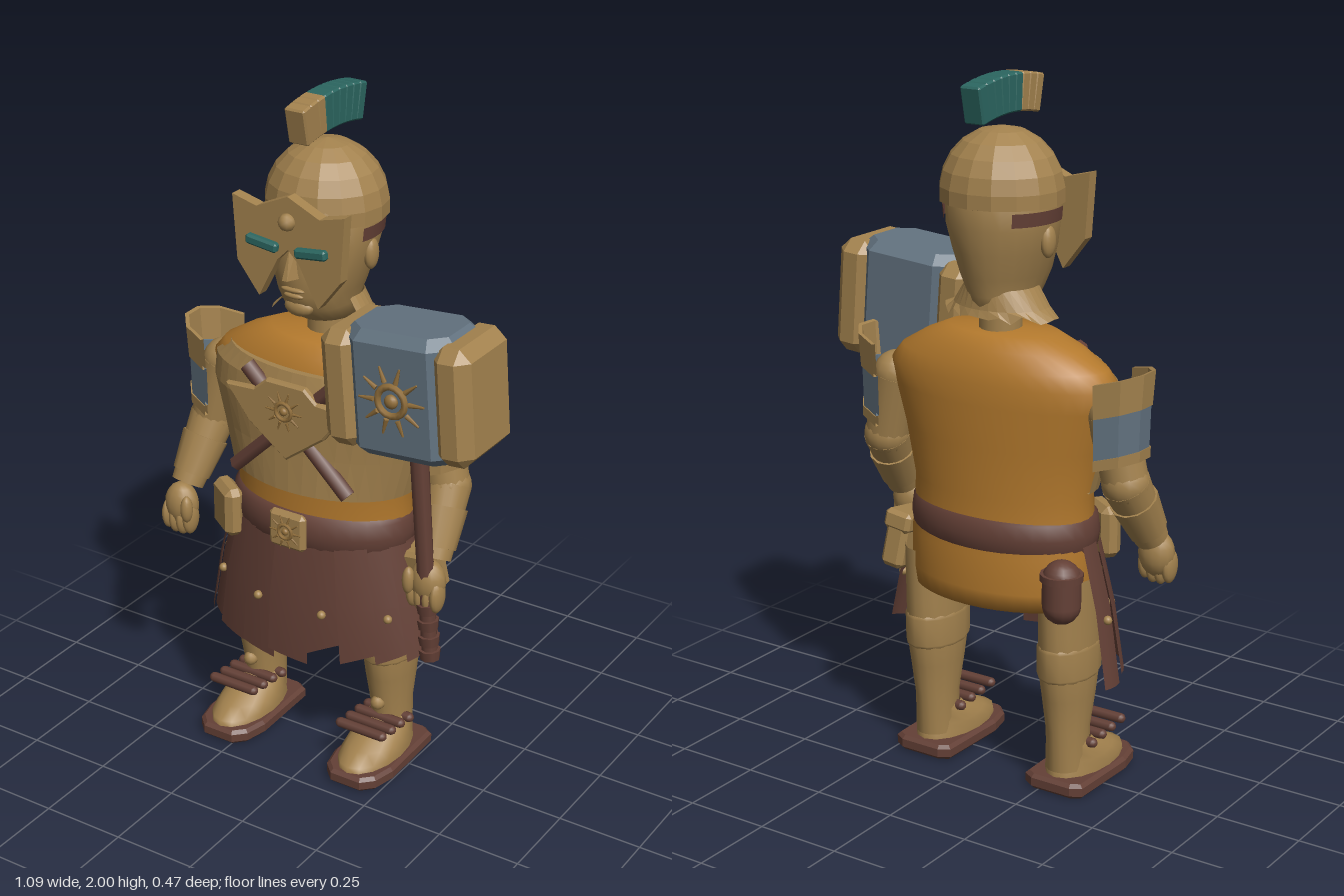
import * as THREE from 'three';
import { mergeVertices } from 'three/addons/utils/BufferGeometryUtils.js';
import { ConvexGeometry } from 'three/addons/geometries/ConvexGeometry.js';

const mat = (name, color) => {
  const m = new THREE.MeshStandardMaterial({ color, side: THREE.DoubleSide });
  m.name = name;
  return m;
};
const V = (x, y, z) => new THREE.Vector3(x, y, z);

// Skin through elliptical rows [y, rx, rz, cz]; angle 0 is the front
function loft(rows, n = 24, a0 = 0, a1 = Math.PI * 2, flat = false) {
  const pos = [], idx = [];
  for (const [y, rx, rz, cz = 0] of rows)
    for (let i = 0; i <= n; i++) {
      const a = a0 + (a1 - a0) * i / n;
      pos.push(rx * Math.sin(a), y, cz + rz * Math.cos(a));
    }
  for (let j = 0; j < rows.length - 1; j++)
    for (let i = 0; i < n; i++) {
      const p = j * (n + 1) + i, q = p + n + 1;
      idx.push(p, p + 1, q, p + 1, q + 1, q);
    }
  let g = new THREE.BufferGeometry();
  g.setAttribute('position', new THREE.Float32BufferAttribute(pos, 3));
  g.setIndex(idx);
  g = flat ? g.toNonIndexed() : mergeVertices(g);
  g.computeVertexNormals();
  return g;
}

// Box with every edge cut at 45 degrees
function chamferBox(w, h, d, c) {
  const pts = [];
  for (const x of [-1, 1]) for (const y of [-1, 1]) for (const z of [-1, 1])
    pts.push(V(x * w / 2, y * (h / 2 - c), z * (d / 2 - c)),
      V(x * (w / 2 - c), y * h / 2, z * (d / 2 - c)),
      V(x * (w / 2 - c), y * (h / 2 - c), z * d / 2));
  return new ConvexGeometry(pts);
}

// Flat plate from an outline
function plate(points, depth, bevel = 0) {
  const s = new THREE.Shape(points.map(p => new THREE.Vector2(p[0], p[1])));
  return new THREE.ExtrudeGeometry(s, { depth, bevelEnabled: bevel > 0, bevelSize: bevel, bevelThickness: bevel, bevelSegments: 1 });
}

export function createModel() {
  const tan = mat('tan', 0xa3824e), orange = mat('orange cloth', 0xb3792d), brown = mat('brown leather', 0x644036);
  const steel = mat('blue steel', 0x62727f), teal = mat('teal', 0x2b6660), bronze = mat('bronze trim', 0x93703c);
  const model = new THREE.Group();
  const figure = new THREE.Group();
  figure.name = 'figure';
  figure.position.x = -0.07;
  model.add(figure);

  const add = (name, geo, m, x = 0, y = 0, z = 0, parent = figure) => {
    const o = new THREE.Mesh(geo, m);
    o.name = name;
    o.position.set(x, y, z);
    parent.add(o);
    return o;
  };
  const rod = (name, a, b, ra, rb, m, parent = figure, n = 14) => {
    const d = b.clone().sub(a), c = a.clone().add(b).multiplyScalar(0.5);
    const o = add(name, new THREE.CylinderGeometry(rb, ra, d.length(), n), m, c.x, c.y, c.z, parent);
    o.quaternion.setFromUnitVectors(V(0, 1, 0), d.normalize());
    return o;
  };
  const ball = (name, m, x, y, z, rx, ry = rx, rz = rx, parent = figure) => {
    const o = add(name, new THREE.SphereGeometry(1, 14, 10), m, x, y, z, parent);
    o.scale.set(rx, ry, rz);
    return o;
  };
  // Sun ornament facing +z
  const sun = (x, y, z, r, parent) => {
    const g = new THREE.Group();
    g.name = 'sunOrnament';
    g.position.set(x, y, z);
    add('sunRing', new THREE.TorusGeometry(r * 0.42, r * 0.1, 6, 16), bronze, 0, 0, 0, g);
    ball('sunBoss', bronze, 0, 0, 0, r * 0.2, r * 0.2, r * 0.15, g);
    for (let i = 0; i < 10; i++) {
      const a = i * Math.PI / 5;
      rod('sunRay', V(Math.cos(a) * r * 0.55, Math.sin(a) * r * 0.55, 0), V(Math.cos(a) * r, Math.sin(a) * r, 0), r * 0.08, r * 0.03, bronze, g, 5);
    }
    parent.add(g);
  };

  // Tunic and breastplate
  add('tunic', loft([[0.57, 0, 0, -0.048], [0.55, 0.275, 0.18, -0.048], [0.6, 0.285, 0.182, -0.048], [0.7, 0.285, 0.178, -0.048], [0.75, 0.28, 0.17, -0.045],
    [0.86, 0.278, 0.165, -0.045], [1.0, 0.31, 0.165, -0.045], [1.12, 0.348, 0.165, -0.045], [1.18, 0.362, 0.16, -0.045],
    [1.225, 0.325, 0.15, -0.045], [1.27, 0.25, 0.13, -0.045], [1.305, 0.17, 0.1, -0.045], [1.315, 0, 0, -0.045]], 36), orange);
  add('breastplate', loft([[0.88, 0.272, 0.165, -0.045], [0.88, 0.29, 0.195, -0.045], [1.0, 0.322, 0.19, -0.045], [1.12, 0.356, 0.19, -0.045],
    [1.19, 0.35, 0.18, -0.045], [1.235, 0.3, 0.165, -0.045], [1.235, 0.27, 0.14, -0.045]], 22, -1.65, 1.65, true), tan);
  for (const s of [-1, 1])
    rod('crossedStick', V(-s * 0.187, 0.91, 0.132), V(s * 0.143, 1.23, 0.132), 0.023, 0.023, brown, figure, 6);
  add('chestBadge', plate([[0, 0.99], [0.12, 1.08], [0.19, 1.17], [0.1, 1.175], [0.06, 1.21], [-0.06, 1.21], [-0.1, 1.175], [-0.19, 1.17], [-0.12, 1.08]], 0.012, 0.006), tan, 0, 0, 0.144);
  sun(0, 1.135, 0.168, 0.06, figure);

  // Belt, buckle and hanging gear
  add('belt', loft([[0.7, 0.272, 0.17, -0.038], [0.712, 0.285, 0.184, -0.038], [0.755, 0.291, 0.19, -0.038], [0.798, 0.285, 0.184, -0.038], [0.81, 0.272, 0.165, -0.038]], 36), brown);
  add('buckle', chamferBox(0.12, 0.115, 0.03, 0.012), tan, 0, 0.76, 0.15);
  sun(0, 0.76, 0.167, 0.052, figure);
  add('frontPouch', chamferBox(0.125, 0.15, 0.06, 0.018), tan, -0.25, 0.735, 0.085).rotation.y = -0.6;
  const pouch = new THREE.Group();
  pouch.name = 'sidePouch';
  pouch.position.set(0.325, 0.63, -0.07);
  pouch.rotation.set(0.15, 0, 0.12);
  add('pouchBody', chamferBox(0.075, 0.16, 0.12, 0.015), tan, 0, 0, 0, pouch);
  add('pouchFlap', chamferBox(0.09, 0.06, 0.13, 0.012), tan, 0, 0.06, 0, pouch);
  figure.add(pouch);
  add('canteen', new THREE.CapsuleGeometry(0.054, 0.075, 6, 14), brown, -0.275, 0.63, -0.173);
  add('canteenCollar', new THREE.CylinderGeometry(0.06, 0.06, 0.02, 14), brown, -0.275, 0.675, -0.173);

  // Skirt of ragged leather strips around the front
  const N = 11, span = 3.5;
  for (let i = 0; i < N; i++) {
    const a0 = -span / 2 + span * i / N, a1 = a0 + span / N * 1.12;
    const low = 0.33 + 0.035 * Math.abs(Math.sin(i * 2.3)), lift = i % 2 * 0.008;
    const g = loft([[low, 0.37 + lift, 0.212 + lift, -0.045], [0.55, 0.335 + lift, 0.206 + lift, -0.045], [0.73, 0.288 + lift, 0.19, -0.045]], 3, a0, a1);
    const p = g.attributes.position;
    for (let k = 0; k < p.count; k++)
      if (p.getY(k) < 0.45) p.setY(k, p.getY(k) + (Math.atan2(p.getX(k), p.getZ(k) + 0.045) - a0) * (i < N / 2 ? -0.02 : 0.12));
    g.computeVertexNormals();
    add('skirtStrip', g, brown);
    if (i % 2 === 0) {
      const m = (a0 + a1) / 2;
      ball('skirtStud', tan, 0.345 * Math.sin(m), 0.52, -0.045 + 0.213 * Math.cos(m), 0.013);
    }
  }

  // Sole outline with a narrowed toe, seen from above
  const sole = plate([[-0.085, -0.12], [-0.06, -0.135], [0.06, -0.135], [0.085, -0.12], [0.09, 0.1], [0.075, 0.165], [0.045, 0.195], [-0.045, 0.195], [-0.075, 0.165], [-0.09, 0.1]], 0.024, 0.01);
  sole.rotateX(Math.PI / 2).translate(0, 0.034, 0);

  for (const s of [-1, 1]) {
    // Legs and sandals
    const leg = new THREE.Group();
    leg.name = s < 0 ? 'rightLeg' : 'leftLeg';
    leg.position.x = s * 0.225;
    figure.add(leg);
    add('shin', loft([[0.06, 0.058, 0.07, -0.055], [0.18, 0.057, 0.077, -0.053], [0.28, 0.068, 0.095, -0.05], [0.36, 0.075, 0.11, -0.05], [0.48, 0.076, 0.112, -0.05], [0.64, 0.082, 0.11, -0.05]], 18), tan, 0, 0, 0, leg);
    add('kneeCuff', loft([[0.34, 0.074, 0.107, -0.05], [0.35, 0.079, 0.115, -0.05], [0.43, 0.08, 0.117, -0.05], [0.44, 0.075, 0.111, -0.05]], 14), tan, 0, 0, 0, leg);
    add('sole', sole, brown, 0, 0, 0, leg);
    add('foot', loft([[0.035, 0.086, 0.16, 0.035], [0.06, 0.086, 0.155, 0.035], [0.085, 0.08, 0.125, 0.015], [0.115, 0.07, 0.092, -0.015], [0.14, 0.057, 0.072, -0.045]], 16), tan, 0, 0, 0, leg);
    // Lace bars across the ankle
    for (const [y, z] of [[0.152, 0.117], [0.146, 0.065], [0.142, 0.015], [0.134, -0.035]])
      add('laceBar', new THREE.CapsuleGeometry(0.015, 0.14, 4, 8), brown, 0, y, z, leg).rotation.z = Math.PI / 2;
    add('ankleKnob', new THREE.IcosahedronGeometry(0.022, 1), tan, 0, 0.195, 0.026, leg);

    // Arms and hands
    const arm = new THREE.Group();
    arm.name = s < 0 ? 'rightArm' : 'leftArm';
    figure.add(arm);
    const sh = V(s * 0.355, 1.12, -0.06), el = V(s * 0.398, 0.93, -0.05), wr = V(s * 0.42, 0.75, 0.055);
    ball('shoulder', tan, sh.x, sh.y, sh.z, 0.066, 0.066, 0.066, arm);
    rod('upperArm', sh, el, 0.066, 0.064, tan, arm, 18);
    ball('elbow', tan, el.x, el.y, el.z, 0.068, 0.068, 0.068, arm);
    rod('forearm', el, wr, 0.068, 0.048, tan, arm, 18);
    rod('bracer', el.clone().lerp(wr, 0.3), el.clone().lerp(wr, 0.85), 0.069, 0.056, tan, arm, 12);
    ball('palm', tan, s * 0.42, 0.695, 0.085, 0.053, 0.068, 0.045, arm);
    for (let f = 0; f < 4; f++)
      ball('finger', tan, s * (0.382 + f * 0.025), 0.66 - (f % 3 ? 0.008 : 0), 0.095, 0.018, 0.05, 0.034, arm);
    ball('thumb', tan, s * 0.378, 0.7, 0.12, 0.018, 0.042, 0.02, arm);

    // Banded shoulder guard standing clear of the arm
    const guard = new THREE.Group();
    guard.name = 'shoulderGuard';
    guard.position.set(s * 0.335, 0, -0.055);
    figure.add(guard);
    const mid = s * (Math.PI / 2 - 0.02), bands = [[1.005, 1.035, 0.127, 0.128, tan], [1.035, 1.15, 0.124, 0.127, steel], [1.15, 1.245, 0.131, 0.138, tan]];
    for (const [y0, y1, r0, r1, m] of bands) {
      const t = 0.012, k = 0.83;
      const g = loft([[y0, r0 - t, r0 * k - t], [y0, r0, r0 * k], [y1, r1, r1 * k], [y1, r1 - t, r1 * k - t], [y0, r0 - t, r0 * k - t]], 5, mid - 1.4, mid + 1.4, true);
      const p = g.attributes.position;
      for (let i = 0; i < p.count; i++) p.setY(i, p.getY(i) + 0.25 * (s * p.getX(i) - 0.11));
      g.computeVertexNormals();
      add('guardBand', g, m, 0, 0, 0, guard);
    }
  }

  // Neck, head and face
  add('neck', new THREE.CylinderGeometry(0.06, 0.06, 0.16, 16), tan, 0, 1.34, -0.06);
  add('head', loft([[1.365, 0, 0, -0.06], [1.365, 0.085, 0.1, -0.06], [1.41, 0.092, 0.13, -0.035], [1.46, 0.112, 0.15, -0.033], [1.53, 0.135, 0.16, -0.038],
    [1.6, 0.152, 0.164, -0.047], [1.7, 0.158, 0.162, -0.05], [1.8, 0.1, 0.1, -0.05]], 22), tan);
  const collar = loft([[1.355, 0.17, 0.115, -0.055], [1.375, 0.14, 0.108, -0.055], [1.43, 0.103, 0.102, -0.055]], 20, 1.2, 5.08, true);
  const cp = collar.attributes.position;
  for (let i = 0; i < cp.count; i++)
    if (cp.getY(i) < 1.36) cp.setY(i, 1.355 + 0.012 * Math.sin(cp.getX(i) * 90));
  collar.computeVertexNormals();
  add('raggedCollar', collar, tan);
  add('nose', new ConvexGeometry([V(-0.01, 1.6, 0.11), V(0.01, 1.6, 0.11), V(-0.024, 1.515, 0.11), V(0.024, 1.515, 0.11), V(-0.008, 1.517, 0.155), V(0.008, 1.517, 0.155), V(0, 1.6, 0.13)]), tan);
  ball('upperLip', tan, 0, 1.478, 0.115, 0.038, 0.008, 0.011);
  ball('lowerLip', tan, 0, 1.46, 0.111, 0.032, 0.009, 0.011);
  ball('chin', tan, 0, 1.42, 0.085, 0.045, 0.028, 0.025);
  for (const s of [-1, 1]) {
    ball('ear', tan, s * 0.145, 1.56, -0.05, 0.018, 0.045, 0.028);
    add('eyeSlit', chamferBox(0.1, 0.028, 0.024, 0.006), teal, s * 0.078, 1.607, 0.144).rotation.z = s * 0.12;
    // Side piece of the head band
    add('headBand', loft([[1.612, 0.16, 0.168, -0.047], [1.65, 0.164, 0.169, -0.048]], 10, s * 1.25, s * 2.4), brown);
  }

  // Face mask with forehead knob
  const half = [[0.1, 1.705], [0.178, 1.725], [0.165, 1.54], [0.095, 1.45], [0.035, 1.565]];
  add('faceMask', plate([[0, 1.75], ...half, [0, 1.6], ...half.map(p => [-p[0], p[1]]).reverse()], 0.035), tan, 0, 0, 0.102);
  add('maskKnob', new THREE.IcosahedronGeometry(0.025, 1), tan, 0, 1.68, 0.14);

  // Helmet and floating crest
  const h = Math.PI / 2;
  add('helmet', loft([[1.655, 0.15, 0.15, -0.055], ...[-0.12, 0.1, 0.35, 0.62, 0.9, 1.2, h].map(t =>
    [1.68 + 0.18 * Math.sin(t), 0.175 * Math.cos(t), 0.165 * Math.cos(t), -0.055])], 16, 0, Math.PI * 2, true), tan);
  const crest = new THREE.Group();
  crest.name = 'crest';
  crest.position.set(0, 1.34, -0.052);
  figure.add(crest);
  for (let i = 0; i < 9; i++) {
    const a = (4 - i) * 0.053;
    const seg = add('crestSegment', chamferBox(0.064, 0.105, 0.037, 0.005), i < 3 ? tan : teal, 0, 0.605 * Math.cos(a), 0.605 * Math.sin(a), crest);
    seg.rotation.x = a;
  }

  // War hammer, leaning in the left hand
  const hammer = new THREE.Group();
  hammer.name = 'hammer';
  hammer.position.set(0.31, 1.288, 0.102);
  hammer.rotation.z = 0.075;
  model.add(hammer);
  const core = plate([[-0.143, -0.055], [-0.1, -0.092], [0.1, -0.092], [0.143, -0.055], [0.143, 0.055], [0.1, 0.092], [-0.1, 0.092], [-0.143, 0.055]], 0.304, 0.028);
  core.rotateX(Math.PI / 2).translate(0, 0.152, 0);
  add('hammerCore', core, steel, 0, 0, 0, hammer);
  for (const s of [-1, 1])
    add('hammerCap', chamferBox(0.116, 0.335, 0.253, 0.034), tan, s * 0.171, 0, 0, hammer);
  sun(0, 0, 0.124, 0.1, hammer);
  rod('handle', V(0, -0.8, 0), V(0, -0.15, 0), 0.023, 0.027, brown, hammer, 8);
  for (const y of [-0.67, -0.72, -0.77, -0.815])
    add('gripRing', new THREE.CylinderGeometry(0.032, 0.028, 0.03, 8), brown, 0, y, 0, hammer);

  return model;
}
